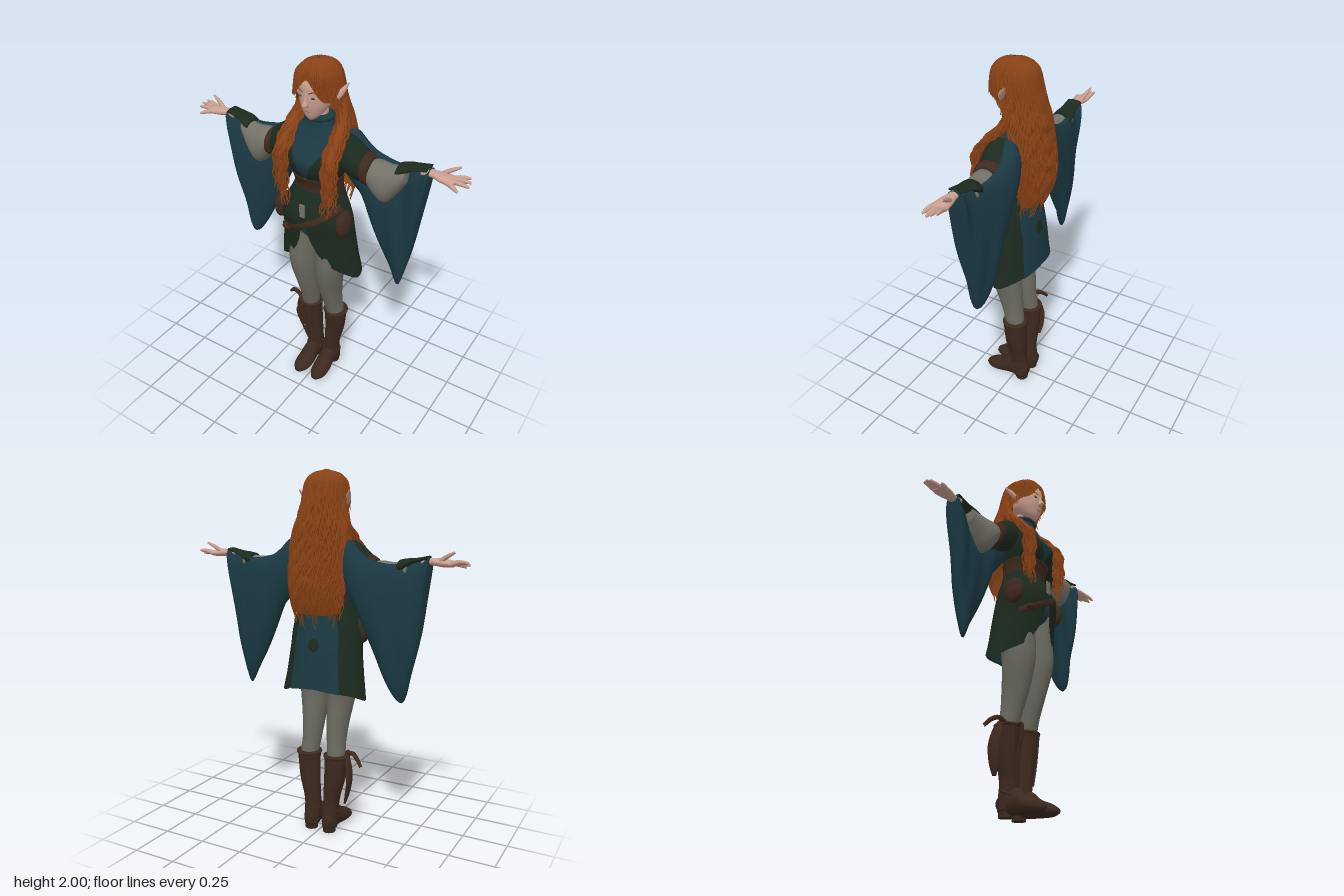
import * as THREE from 'three';
import { mergeVertices, mergeGeometries } from 'three/addons/utils/BufferGeometryUtils.js';

const mat = (name, color, side = THREE.FrontSide) => {
  const m = new THREE.MeshStandardMaterial({ color, side });
  m.name = name;
  return m;
};
const V = (x, y, z) => new THREE.Vector3(x, y, z);

// Smooth interpolation through rows of numbers; s is the row position
function spline(keys, s) {
  const n = keys.length - 1, i = Math.min(n - 1, Math.max(0, Math.floor(s))), f = s - i;
  const row = k => keys[Math.min(n, Math.max(0, k))];
  return keys[i].map((p1, k) => {
    const p2 = row(i + 1)[k], m1 = (p2 - row(i - 1)[k]) / 2, m2 = (row(i + 2)[k] - p1) / 2;
    const f2 = f * f, f3 = f2 * f;
    return (2 * f3 - 3 * f2 + 1) * p1 + (f3 - 2 * f2 + f) * m1 + (3 * f2 - 2 * f3) * p2 + (f3 - f2) * m2;
  });
}
// Look a row up by its first value (ascending)
function lookup(keys, t) {
  t = Math.min(keys[keys.length - 1][0], Math.max(keys[0][0], t));
  let i = 0;
  while (i < keys.length - 2 && t > keys[i + 1][0]) i++;
  return spline(keys, i + (t - keys[i][0]) / (keys[i + 1][0] - keys[i][0]));
}
// Grid surface from fn(u, v)
function surf(fn, nu = 36, nv = 16) {
  const pos = [], idx = [];
  for (let j = 0; j <= nv; j++) for (let i = 0; i <= nu; i++) pos.push(...fn(i / nu, j / nv));
  for (let j = 0; j < nv; j++) for (let i = 0; i < nu; i++) {
    const a = j * (nu + 1) + i, b = a + 1, c = a + nu + 1, d = c + 1;
    idx.push(a, b, d, a, d, c);
  }
  let g = new THREE.BufferGeometry();
  g.setAttribute('position', new THREE.Float32BufferAttribute(pos, 3));
  g.setIndex(idx);
  g = mergeVertices(g);
  g.computeVertexNormals();
  return g;
}
// Capped elliptical loft; keys: [axis position, sin centre, cos centre, sin radius, cos radius]
// axis y: sin = x, cos = z; axis z: sin = y, cos = x; axis x: sin = z, cos = y
function loft(keys, axis = 'y', warp = p => p) {
  const nv = (keys.length - 1) * 5 + 2;
  return surf((u, v) => {
    const j = Math.round(v * nv), cap = j === 0 || j === nv ? 0 : 1;
    const [t, a, b, ra, rb] = spline(keys, Math.min(keys.length - 1, Math.max(0, (j - 1) / 5)));
    const th = u * Math.PI * 2;
    const s = a + cap * Math.max(ra, 0.001) * Math.sin(th), c = b + cap * Math.max(rb, 0.001) * Math.cos(th);
    return warp(axis === 'y' ? [s, t, c] : axis === 'z' ? [c, s, t] : [t, c, s]);
  }, 28, nv);
}
// Tube whose radius tapers towards its end
function strand(pts, r, taper = 0.2, seg = 32, sides = 5) {
  const curve = new THREE.CatmullRomCurve3(pts);
  const g = new THREE.TubeGeometry(curve, seg, r, sides), p = g.attributes.position, q = V(0, 0, 0);
  for (let i = 0; i < p.count; i++) {
    const t = Math.floor(i / (sides + 1)) / seg, c = curve.getPointAt(t);
    q.fromBufferAttribute(p, i).sub(c).multiplyScalar(1 - (1 - taper) * t * t * t).add(c);
    p.setXYZ(i, q.x, q.y, q.z);
  }
  return g;
}
const ball = (x, y, z, a, b, c) => new THREE.SphereGeometry(1, 20, 14).scale(a, b, c).translate(x, y, z);
function mirrored(geo) {
  const g = geo.clone().scale(-1, 1, 1), a = g.index.array;
  for (let i = 0; i < a.length; i += 3) [a[i + 1], a[i + 2]] = [a[i + 2], a[i + 1]];
  return g;
}

export function createModel() {
  const D = THREE.DoubleSide, root = new THREE.Group();
  root.name = 'elfWoman';
  const skin = mat('skin', 0xc99f90), hair = mat('hair', 0x8c4316, D), teal = mat('teal cloth', 0x1b3943, D);
  const green = mat('dark green cloth', 0x1c2a1e, D), leather = mat('leather', 0x40291d), boot = mat('boot leather', 0x3b281e);
  const tights = mat('tights', 0x6a6a60), linen = mat('linen', 0x747267), lip = mat('lips', 0xb07a6e), eye = mat('eyes', 0x3a4a40);
  const add = (name, geo, m) => {
    const mesh = new THREE.Mesh(geo, m);
    mesh.name = name;
    root.add(mesh);
  };
  const pair = (name, geo, m) => { add(name + 'Left', geo, m); add(name + 'Right', mirrored(geo), m); };

  // Head and face
  add('head', loft([[1.715, 0, 0.085, 0.015, 0.02], [1.735, 0, 0.075, 0.04, 0.042], [1.765, 0, 0.055, 0.062, 0.072],
    [1.8, 0, 0.04, 0.078, 0.095], [1.85, 0, 0.035, 0.085, 0.104], [1.91, 0, 0.03, 0.085, 0.105], [1.97, 0, 0.03, 0.05, 0.06]]), skin);
  add('nose', loft([[1.79, 0, 0.13, 0.008, 0.01], [1.803, 0, 0.14, 0.015, 0.024], [1.83, 0, 0.135, 0.009, 0.015], [1.87, 0, 0.13, 0.007, 0.009]]), skin);
  add('neck', loft([[1.6, 0, 0.01, 0.05, 0.05], [1.76, 0, 0.02, 0.045, 0.045]]), skin);
  add('mouth', ball(0, 1.768, 0.122, 0.02, 0.006, 0.007), lip);
  pair('eye', ball(0.035, 1.842, 0.131, 0.012, 0.005, 0.004), eye);
  pair('eyebrow', strand([V(0.015, 1.864, 0.137), V(0.038, 1.872, 0.129), V(0.06, 1.864, 0.112)], 0.003, 0.3, 8), hair);
  pair('ear', strand([V(0.085, 1.81, 0.045), V(0.118, 1.845, 0.03), V(0.15, 1.9, -0.01)], 0.018, 0.05, 12, 8), skin);

  // Torso, collar and waist
  const torso = [[1.22, 0, 0.02, 0.15, 0.12], [1.33, 0, 0.02, 0.125, 0.1], [1.4, 0, 0.03, 0.132, 0.112], [1.46, 0, 0.042, 0.15, 0.13],
    [1.52, 0, 0.042, 0.165, 0.132], [1.6, 0, 0.012, 0.18, 0.1], [1.645, 0, 0.01, 0.14, 0.082], [1.675, 0, 0.014, 0.088, 0.068], [1.725, 0, 0.018, 0.066, 0.058]];
  const around = (keys, th, y, k) => {
    const [, cx, cz, rx, rz] = lookup(keys, y);
    return [cx + k * rx * Math.sin(th), y, cz + k * rz * Math.cos(th)];
  };
  add('shirt', loft(torso), teal);
  add('collarRoll', new THREE.TorusGeometry(0.067, 0.014, 10, 32).rotateX(Math.PI / 2).scale(1, 1, 0.9).translate(0, 1.71, 0.016), teal);
  add('vest', surf((u, v) => {
    const gap = 0.03 + 0.35 * v + 0.35 * v * v;
    return around(torso, gap + u * 2 * (Math.PI - gap), 1.38 + 0.24 * v, 1.045);
  }, 48, 20), green);
  add('corset', loft([1.295, 1.33, 1.37, 1.405].map(y => {
    const k = lookup(torso, y);
    return [y, 0, k[2], k[3] * 1.07, k[4] * 1.1];
  })), leather);
  add('hips', loft([[1.02, 0, 0.04, 0.03, 0.07], [1.07, 0, 0.035, 0.1, 0.115], [1.15, 0, 0.03, 0.15, 0.12], [1.3, 0, 0.02, 0.125, 0.1]]), teal);

  // Open tunic skirt with rounded front panels and a teal lining
  const skirt = [[0.78, 0, -0.01, 0.25, 0.14], [0.9, 0, 0.005, 0.23, 0.145], [1.05, 0, 0.02, 0.21, 0.148], [1.18, 0, 0.04, 0.198, 0.145], [1.34, 0, 0.02, 0.13, 0.105]];
  const hemKeys = [[0, 1.17], [0.12, 1.07], [0.25, 0.98], [0.55, 0.88], [1, 0.82], [1.4, 0.785], [2.2, 0.825], [3.1416, 0.855]];
  const hem = th => lookup(hemKeys, Math.abs(th))[1];
  const skirtLayer = (k, lift) => surf((u, v) => {
    const th = (u * 2 - 1) * Math.PI, b = hem(th) + lift;
    return around(skirt, th, b + (1.33 - b) * v, k);
  }, 64, 20);
  add('tunicSkirt', skirtLayer(1, 0), green);
  add('skirtLining', skirtLayer(0.978, 0.006), teal);
  add('backPanel', surf((u, v) => {
    const th = Math.PI + (u * 2 - 1) * 0.66, b = hem(th > Math.PI ? th - 2 * Math.PI : th) - 0.003;
    return around(skirt, th, b + (1.31 - b) * v, 1.012);
  }, 24, 20), teal);
  add('backPatch', surf((u, v) => around(skirt, Math.PI + 0.17 * (1 - v) * Math.cos(u * Math.PI * 2),
    1.09 + 0.038 * (1 - v) * Math.sin(u * Math.PI * 2), 1.03), 8, 3), green);

  // Slanted front belt, centre tie and hip pouches
  add('hipBelt', surf((u, v) => {
    const th = -0.95 + u * 2.2, w = v * Math.PI * 2;
    return around(skirt, th, 1.14 + 0.115 * Math.sin(th) - 0.019 * Math.cos(w), 1.03 + 0.025 * Math.sin(w));
  }, 32, 8), leather);
  add('beltPouch', ball(-0.12, 1.075, 0.15, 0.03, 0.02, 0.02), leather);
  add('frontTie', new THREE.BoxGeometry(0.03, 0.075, 0.009).translate(0, 1.23, 0.185), linen);
  pair('pouch', ball(0.19, 1.155, 0.085, 0.034, 0.07, 0.06), leather);
  pair('pouchFlap', new THREE.SphereGeometry(1, 20, 8, 0, Math.PI * 2, 0, Math.PI / 2).scale(0.038, 0.06, 0.065).translate(0.19, 1.175, 0.085), boot);

  // Legs and boots
  pair('leg', loft([[0.4, 0.085, -0.025, 0.045, 0.05], [0.46, 0.083, -0.018, 0.051, 0.056], [0.54, 0.077, -0.002, 0.053, 0.064], [0.65, 0.076, 0.02, 0.062, 0.08],
    [0.8, 0.083, 0.044, 0.077, 0.095], [0.95, 0.086, 0.035, 0.083, 0.105], [1.1, 0.078, 0.03, 0.075, 0.1]]), tights);
  pair('bootShaft', loft([[0.03, 0.057, -0.045, 0.043, 0.048], [0.1, 0.057, -0.035, 0.045, 0.055], [0.18, 0.06, -0.03, 0.045, 0.053],
    [0.3, 0.076, -0.03, 0.056, 0.06], [0.4, 0.084, -0.025, 0.062, 0.064], [0.46, 0.086, -0.023, 0.066, 0.067]]), boot);
  pair('bootFoot', loft([[-0.095, 0.07, 0.057, 0.03, 0.025], [-0.05, 0.075, 0.057, 0.06, 0.043], [0.02, 0.075, 0.057, 0.068, 0.045],
    [0.08, 0.05, 0.058, 0.046, 0.052], [0.14, 0.037, 0.06, 0.033, 0.046], [0.18, 0.03, 0.06, 0.014, 0.02]], 'z'), boot);
  pair('bootHeel', new THREE.CylinderGeometry(0.04, 0.036, 0.055, 16).translate(0.057, 0.0275, -0.052), boot);
  pair('bootCuff', new THREE.TorusGeometry(0.065, 0.008, 8, 28).rotateX(Math.PI / 2).translate(0.086, 0.452, -0.023), leather);
  pair('ankleStrap', new THREE.TorusGeometry(0.056, 0.006, 8, 28).rotateX(Math.PI / 2 + 0.4).scale(0.86, 1, 1).translate(0.057, 0.115, -0.022), leather);
  for (const dx of [-0.025, 0.025]) pair('bootSeam', strand([V(0.086 + dx, 0.45, 0.037), V(0.078 + dx, 0.3, 0.026), V(0.062 + dx * 0.8, 0.17, 0.018)], 0.006, 1, 14), leather);
  // Loose straps on the right boot only
  add('strapBow', strand([V(-0.13, 0.455, 0), V(-0.18, 0.475, -0.01), V(-0.215, 0.46, -0.03), V(-0.252, 0.42, -0.05)], 0.013, 0.7, 20, 8), leather);
  add('hangingStrap', loft([[0.19, -0.155, -0.05, 0.005, 0.012], [0.25, -0.168, -0.045, 0.008, 0.03], [0.34, -0.178, -0.04, 0.009, 0.036],
    [0.42, -0.165, -0.03, 0.009, 0.03], [0.465, -0.15, -0.02, 0.006, 0.02]]), leather);
  add('frontStrap', strand([V(-0.1, 0.445, 0.04), V(-0.112, 0.445, 0.085), V(-0.108, 0.4, 0.085), V(-0.1, 0.3, 0.055), V(-0.075, 0.18, 0.03)], 0.008, 0.8, 24, 6), leather);

  // Arms: cloth layers, bell sleeves
  pair('upperSleeve', loft([[0.1, 0.005, 1.56, 0.08, 0.07], [0.17, 0.01, 1.54, 0.085, 0.1], [0.23, 0.012, 1.51, 0.08, 0.095],
    [0.29, 0.008, 1.485, 0.074, 0.07], [0.32, 0, 1.48, 0.065, 0.058]], 'x'), green);
  pair('sleeveBand', loft([[0.262, 0.008, 1.49, 0.07, 0.07], [0.27, 0.008, 1.49, 0.085, 0.082], [0.3, 0.008, 1.48, 0.082, 0.074], [0.308, 0, 1.48, 0.06, 0.06]], 'x'), leather);
  pair('puffSleeve', loft([[0.29, 0.005, 1.48, 0.068, 0.06], [0.34, 0.005, 1.45, 0.08, 0.095], [0.39, 0.005, 1.435, 0.078, 0.105],
    [0.44, 0, 1.465, 0.066, 0.078], [0.49, -0.01, 1.51, 0.05, 0.042]], 'x'), linen);
  pair('cuff', loft([[0.44, -0.01, 1.515, 0.056, 0.04], [0.48, -0.018, 1.537, 0.054, 0.026], [0.52, -0.02, 1.554, 0.045, 0.012], [0.59, -0.018, 1.57, 0.042, 0.01]], 'x'), green);
  const bell = [[0.13, 1.655, 1.42, -0.035, 0.06], [0.18, 1.645, 1.34, -0.045, 0.065], [0.23, 1.595, 1.27, -0.055, 0.062], [0.29, 1.555, 1.13, -0.058, 0.06],
    [0.39, 1.535, 0.92, -0.054, 0.056], [0.47, 1.54, 0.81, -0.04, 0.05], [0.515, 1.548, 0.96, -0.025, 0.05], [0.555, 1.558, 1.15, -0.018, 0.05],
    [0.585, 1.57, 1.38, -0.016, 0.052], [0.6, 1.573, 1.5, -0.016, 0.042]];
  pair('bellSleeve', loft(bell.map(([x, top, bottom, z, r]) => [x, z, (top + bottom) / 2, r, (top - bottom) / 2]), 'x',
    ([x, y, z]) => [x, y, z + (1.5 - y) * 0.015 + 0.015 * Math.min(1, Math.max(0, 1.5 - y)) * Math.sin(45 * x + 6 * y)]), teal);

  // Hands
  pair('palm', loft([[0.56, -0.012, 1.552, 0.03, 0.02], [0.61, -0.012, 1.552, 0.025, 0.018], [0.66, -0.01, 1.548, 0.037, 0.021],
    [0.71, -0.01, 1.545, 0.042, 0.017], [0.73, -0.01, 1.545, 0.036, 0.009]], 'x'), skin);
  [[0.64, 0.735, 1.605, -0.05, -0.025], [0.71, 0.788, 1.56, -0.05, -0.038], [0.71, 0.8, 1.553, -0.025, -0.02],
    [0.71, 0.8, 1.54, -0.002, 0], [0.69, 0.765, 1.525, 0.045, 0.018]].forEach(([x0, x1, y, z1, z0], i) =>
    pair('finger' + (i + 1), strand([V(x0, 1.546, z0), V((x0 + x1) / 2, (1.546 + y) / 2 + 0.004, (z0 + z1) / 2), V(x1, y, z1)], 0.0125, 0.4, 12, 8), skin));

  // Hair shell with an opening for the face
  let seed = 7;
  const rnd = () => (seed = (seed * 16807) % 2147483647) / 2147483647;
  const hairKeys = [[1.2, -0.04, 0.14, 0.085], [1.3, -0.04, 0.16, 0.125], [1.4, -0.035, 0.172, 0.148], [1.5, -0.028, 0.175, 0.148], [1.6, -0.02, 0.172, 0.14],
    [1.7, -0.005, 0.152, 0.142], [1.8, 0.015, 0.122, 0.138], [1.88, 0.02, 0.112, 0.123], [1.94, 0.022, 0.097, 0.108], [1.975, 0.024, 0.062, 0.074], [1.992, 0.025, 0.004, 0.004]];
  const fringe = [[0, 1.93], [0.25, 1.9], [0.5, 1.86], [0.8, 1.83], [1.1, 1.82], [1.4, 1.79], [1.65, 1.66], [1.9, 1.32], [2.1, 1.27], [3.1416, 1.26]];
  const soft = s => Math.sign(s) * Math.abs(s) ** 0.88;
  const onHair = (th, y, k) => {
    const [, cz, rx, rz] = lookup(hairKeys, y);
    return [k * rx * soft(Math.sin(th)), y, cz + k * rz * soft(Math.cos(th))];
  };
  const hairY = (th, v, extra = 0) => {
    const b = lookup(fringe, Math.abs(th))[1] + extra;
    return b + (1.992 - b) * (1 - (1 - v) ** 1.5);
  };
  add('hairShell', surf((u, v) => {
    const th = (u * 2 - 1) * Math.PI, [x, y, z] = onHair(th, hairY(th, v), 0.975);
    return [x, y - 0.004, z];
  }, 72, 30), hair);

  // Wavy strands laid over the shell
  const strands = [];
  for (let i = 0; i < 110; i++) {
    const th = ((i + 0.5) / 55 - 1) * Math.PI, long = Math.abs(th) > 1.6;
    const extra = long ? (rnd() - 0.6) * 0.14 : 0, ph = rnd() * 6, k = 0.985 + rnd() * 0.05, pts = [];
    for (let j = 0; j <= 24; j++) {
      const y = hairY(th, 1 - j / 24, extra), w = Math.min(1, (1.99 - y) * 4);
      const p = onHair(th + 0.06 * w * Math.sin(y * 60 + ph), y, k);
      pts.push(V(p[0], y + (y > 1.9 ? 0.002 : 0), p[2]));
    }
    strands.push(strand(pts, long ? 0.009 : 0.0065, 0.25, 40, 4));
  }
  add('hairStrands', mergeGeometries(strands), hair);

  // Long locks passing behind the ears and falling over the chest
  const lock = [V(0.012, 1.968, 0.09), V(0.075, 1.925, 0.06), V(0.108, 1.81, -0.02), V(0.128, 1.7, 0.005), V(0.14, 1.615, 0.085),
    V(0.142, 1.52, 0.155), V(0.145, 1.4, 0.16), V(0.143, 1.3, 0.155), V(0.125, 1.21, 0.17)];
  const lockCurve = new THREE.CatmullRomCurve3(lock), locks = [strand(lock.slice(2, 8), 0.03, 0.4, 30, 8)];
  for (let i = 0; i < 20; i++) {
    const a = i * 2.4, r = Math.sqrt((i + 0.5) / 20), ph = rnd() * 6, len = 0.82 + rnd() * 0.18, pts = [];
    for (let j = 0; j <= 26; j++) {
      const t = len * j / 26, p = lockCurve.getPoint(t), w = Math.min(1, t * 2.2);
      p.x += w * (0.045 * r * Math.cos(a) + 0.007 * Math.sin(t * 55 + ph));
      p.z += w * (0.03 * r * Math.sin(a) + 0.006 * Math.cos(t * 55 + ph));
      p.y += 0.01 * (1 - w) * Math.sin(a);
      pts.push(p);
    }
    locks.push(strand(pts, 0.0095, 0.25, 44, 4));
  }
  pair('frontLock', mergeGeometries(locks), hair);
  return root;
}
